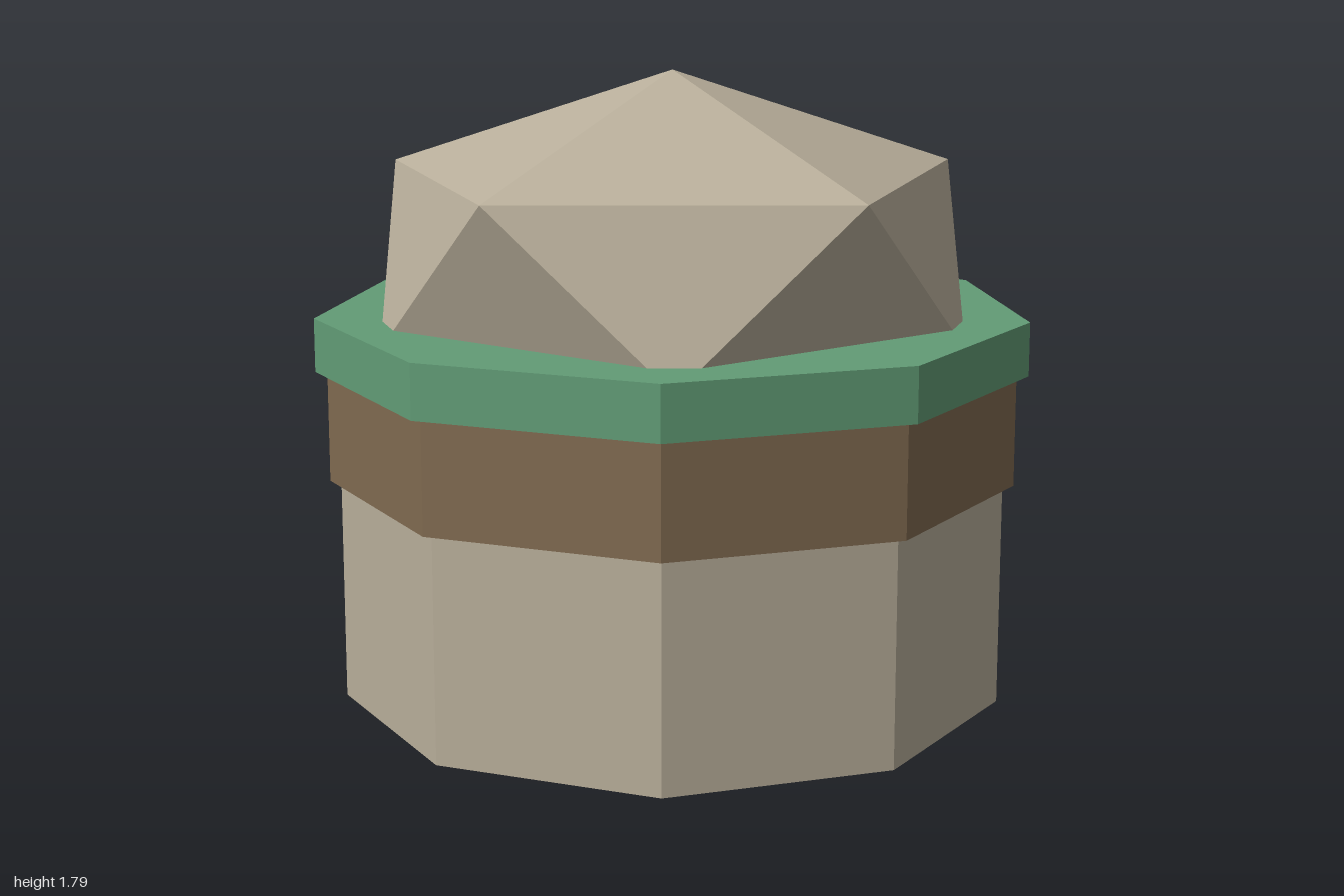
import * as THREE from 'three';

const SIDES = 9;
const CENTRE_Z = 0.03;

export function createModel() {
  const model = new THREE.Group();
  const paint = (name, color) => {
    const m = new THREE.MeshStandardMaterial({ color });
    m.name = name;
    return m;
  };
  const stone = paint('stone', 0xb8ae9a);
  const wood = paint('brown', 0x806a50);
  const green = paint('green', 0x629c76);

  const add = (name, geometry, material, y) => {
    const mesh = new THREE.Mesh(geometry, material);
    mesh.name = name;
    mesh.position.set(0, y, CENTRE_Z);
    model.add(mesh);
  };

  // Stacked nine-sided drums, each with a corner pointing to the back
  const drum = (name, radius, bottom, top, material) => {
    const solid = new THREE.CylinderGeometry(radius, radius, top - bottom, SIDES, 1, false, Math.PI);
    const geometry = solid.toNonIndexed();
    geometry.computeVertexNormals();
    add(name, geometry, material, (bottom + top) / 2);
  };
  drum('base', 0.951, 0, 0.64, stone);
  drum('middleBand', 0.982, 0.64, 0.957, wood);
  drum('rim', 1.0154, 0.957, 1.11, green);

  // Squashed icosahedron boulder, one corner up, sunk into the rim
  const boulder = new THREE.IcosahedronGeometry(0.95, 0);
  boulder.rotateZ(-Math.atan(2 / (1 + Math.sqrt(5))));
  boulder.scale(1, 0.5435, 1);
  boulder.computeVertexNormals();
  add('boulder', boulder, stone, 1.276);

  return model;
}
